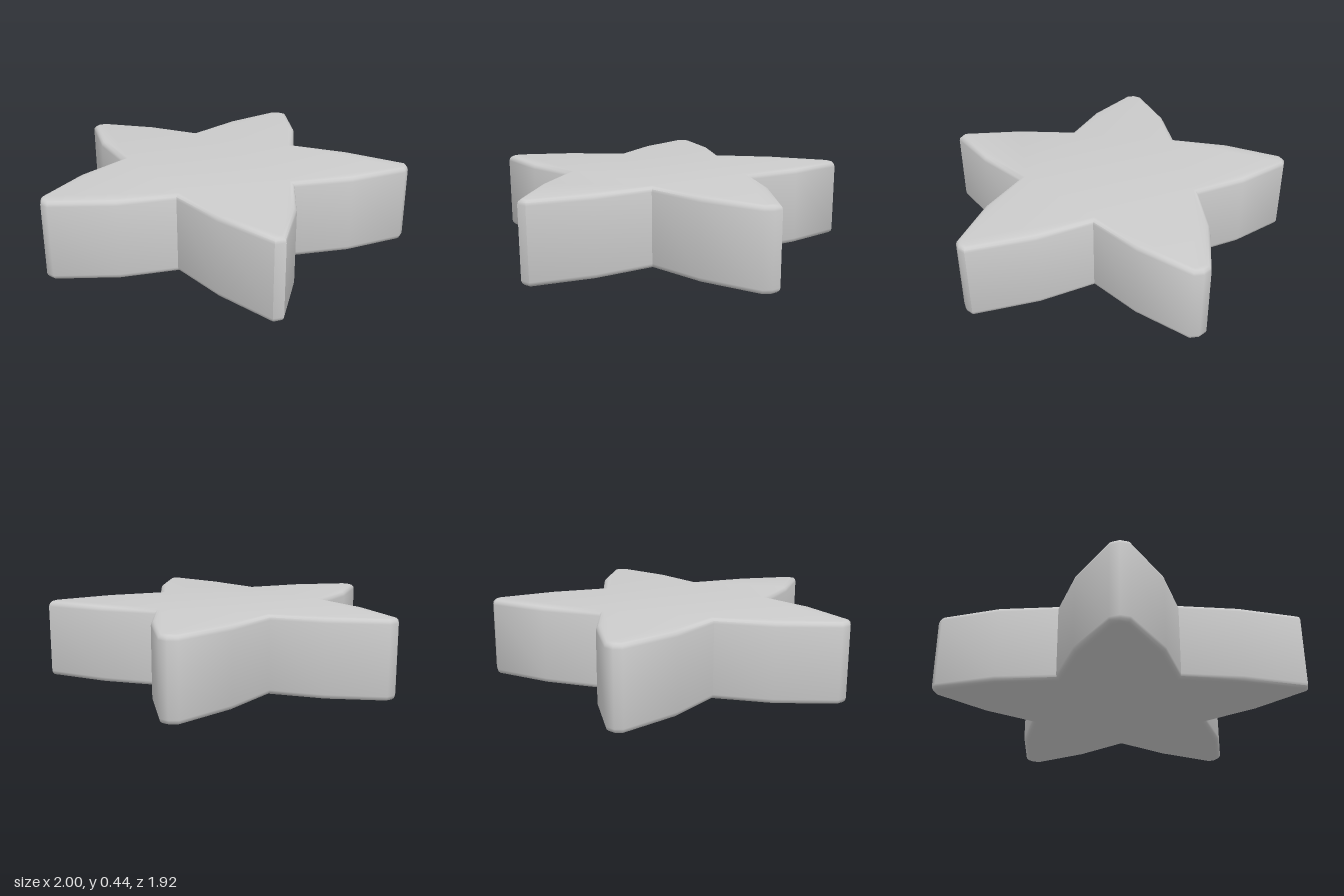
import * as THREE from 'three';
import { toCreasedNormals } from 'three/addons/utils/BufferGeometryUtils.js';

const HEIGHT = 0.44;
const BEVEL = 0.028;

// Slightly irregular star outline as [x, z]: each arm is blunt-tipped with one bend per side
const OUTLINE = [
  [-0.05, -0.95], [0, -0.965], [0.05, -0.95], [0.205, -0.65],       // back arm
  [0.30, -0.345], [0.62, -0.35], [0.98, -0.295], [1.0, -0.25], [0.995, -0.20], [0.76, 0.05],  // left arm
  [0.495, 0.24], [0.605, 0.545], [0.663, 0.877], [0.62, 0.915], [0.285, 0.79],                // front left arm
  [-0.005, 0.63], [-0.245, 0.815], [-0.555, 0.96], [-0.605, 0.945], [-0.635, 0.90], [-0.615, 0.565], // front right arm
  [-0.53, 0.26], [-0.785, 0.06], [-1.0, -0.20], [-1.0, -0.245], [-0.965, -0.285], [-0.645, -0.34],   // right arm
  [-0.345, -0.335], [-0.228, -0.65],                                // back to the start
];

export function createModel() {
  const model = new THREE.Group();
  model.name = 'starBlock';

  // Extruded star with rounded top and bottom rims, inset so the outline stays the widest part
  const shape = new THREE.Shape(OUTLINE.map(([x, z]) => new THREE.Vector2(x, z)));
  const depth = HEIGHT - 2 * BEVEL;
  const extruded = new THREE.ExtrudeGeometry(shape, {
    depth,
    bevelEnabled: true,
    bevelThickness: BEVEL,
    bevelSize: BEVEL,
    bevelOffset: -BEVEL,
    bevelSegments: 3,
  });

  // Lay it flat on the ground
  extruded.rotateX(Math.PI / 2);
  extruded.translate(0, depth + BEVEL, 0);

  // Soft rims and tips, sharp inner corners
  const geometry = toCreasedNormals(extruded, THREE.MathUtils.degToRad(52));
  const star = new THREE.Mesh(geometry, new THREE.MeshStandardMaterial({ color: 0xcccccc }));
  star.name = 'star';
  model.add(star);

  return model;
}
